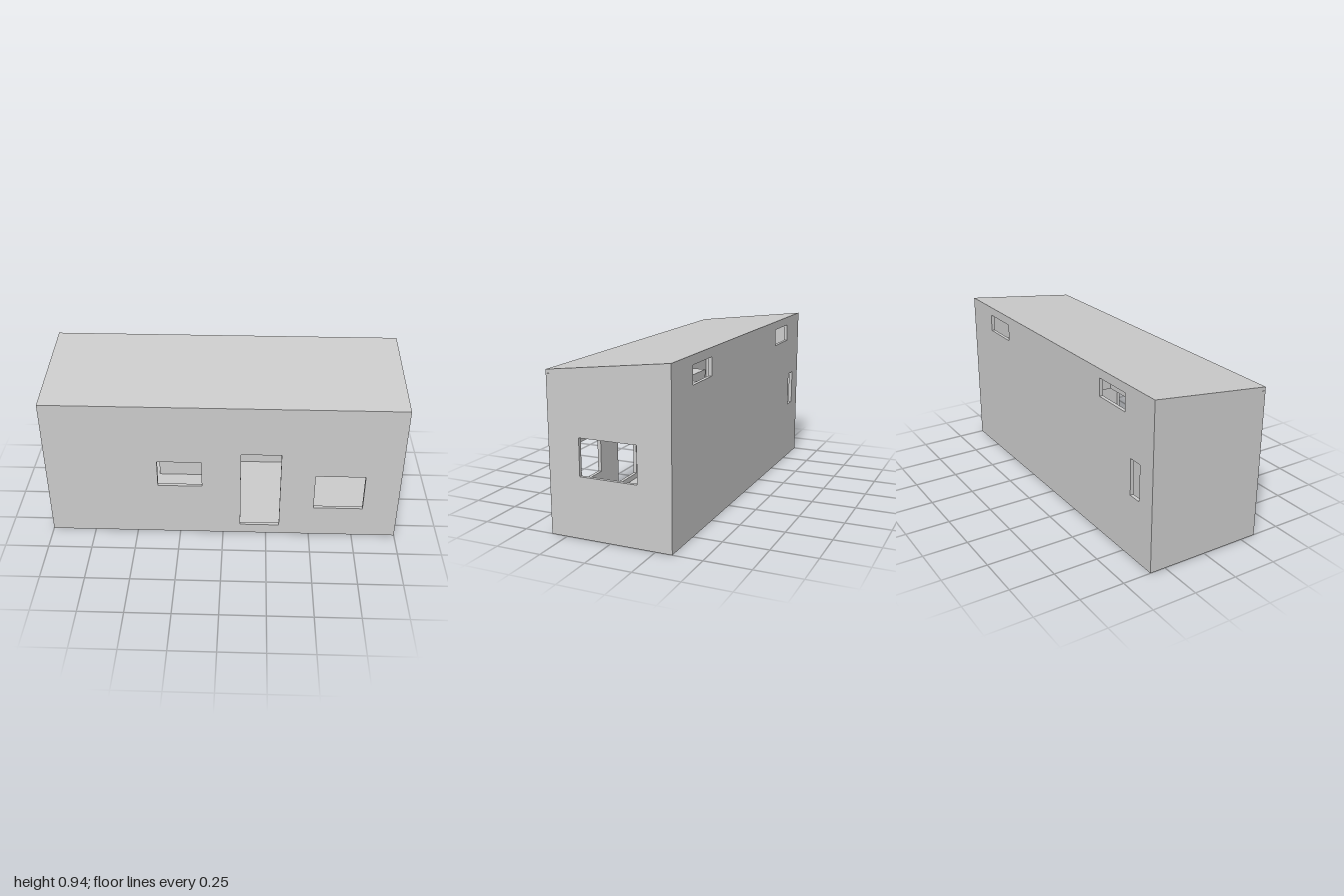
import * as THREE from 'three';

const T = 0.02; // wall and roof thickness
const W = 1, D = 0.34; // half length and half depth
const FLOOR = 0.03;
const roofY = z => 0.9 - (0.04 / D) * z;

const material = new THREE.MeshStandardMaterial({ color: 0xcccccc, flatShading: true });

function polygon(points) {
  return new THREE.Shape(points.map(([u, v]) => new THREE.Vector2(u, v)));
}

// Flat panel with rectangular openings given as [u0, u1, v0, v1]
function panel(points, openings = [], depth = T) {
  const shape = polygon(points);
  for (const [a, b, c, d] of openings) {
    shape.holes.push(polygon([[a, c], [a, d], [b, d], [b, c]]));
  }
  return new THREE.ExtrudeGeometry(shape, { depth, bevelEnabled: false });
}

// Turns a (z, y) profile so that its depth runs along -x from the given x
function crosswise(geometry, x) {
  return geometry.rotateY(-Math.PI / 2).translate(x, 0, 0);
}

export function createModel() {
  const house = new THREE.Group();
  house.name = 'tinyHouse';

  const add = (name, geometry) => {
    const mesh = new THREE.Mesh(geometry, material);
    mesh.name = name;
    house.add(mesh);
  };
  const box = (name, x0, x1, y0, y1, z0, z1) => {
    const g = new THREE.BoxGeometry(x1 - x0, y1 - y0, z1 - z0);
    add(name, g.translate((x0 + x1) / 2, (y0 + y1) / 2, (z0 + z1) / 2));
  };

  // Long walls: window, door and window in front, three small windows behind
  const longWall = (z, openings) => {
    const top = roofY(z) - T;
    return panel([[-W, 0], [W, 0], [W, top], [-W, top]], openings);
  };
  add('frontWall', longWall(D, [
    [-0.37, -0.12, 0.335, 0.5],
    [0.1, 0.325, 0.06, 0.56],
    [0.52, 0.8, 0.195, 0.42],
  ]).translate(0, 0, D - T));
  add('backWall', longWall(-D, [
    [0.51, 0.75, 0.79, 0.89],
    [-0.755, -0.52, 0.79, 0.89],
    [-0.89, -0.81, 0.355, 0.56],
  ]).translate(0, 0, -D));

  // End walls follow the roof slope; only the left one has a window
  const zi = D - T;
  const endProfile = [[-zi, 0], [zi, 0], [zi, roofY(zi) - T], [-zi, roofY(-zi) - T]];
  add('leftWall', crosswise(panel(endProfile, [[-0.155, 0.165, 0.33, 0.53]]), W));
  add('rightWall', crosswise(panel(endProfile), -W + T));

  // Sloping roof and floor slab
  const roofProfile = [[-D, roofY(-D) - T], [D, roofY(D) - T], [D, roofY(D)], [-D, roofY(-D)]];
  add('roof', crosswise(panel(roofProfile, [], 2 * W), W));
  box('floor', -W + T, W - T, 0, FLOOR, -zi, zi);

  // Staircase along the back wall, rising towards -x
  const tread = 0.07, riser = 0.08, steps = 6;
  const stair = [[0, FLOOR]];
  for (let i = 0; i < steps; i++) {
    const y = 0.12 + i * riser;
    stair.push([-i * tread, y], [-(i + 1) * tread, y]);
  }
  stair.push([-steps * tread, FLOOR]);
  add('staircase', panel(stair.reverse(), [], 0.15).translate(0, 0, -zi));

  // Inner partitions
  box('roomPartition', 0.42, 0.44, FLOOR, 0.57, -zi, -0.07);
  box('bathroomPartition', -0.71, -0.69, FLOOR, 0.57, -zi, 0.097);

  // Loft with a notch above the stairs
  const loft = polygon([[0, -zi], [W - T, -zi], [W - T, zi], [-0.35, zi], [-0.35, 0.06], [0, 0.06]]);
  const loftGeometry = new THREE.ExtrudeGeometry(loft, { depth: 0.07, bevelEnabled: false });
  add('loft', loftGeometry.rotateX(Math.PI / 2).translate(0, 0.64, 0));

  return house;
}
